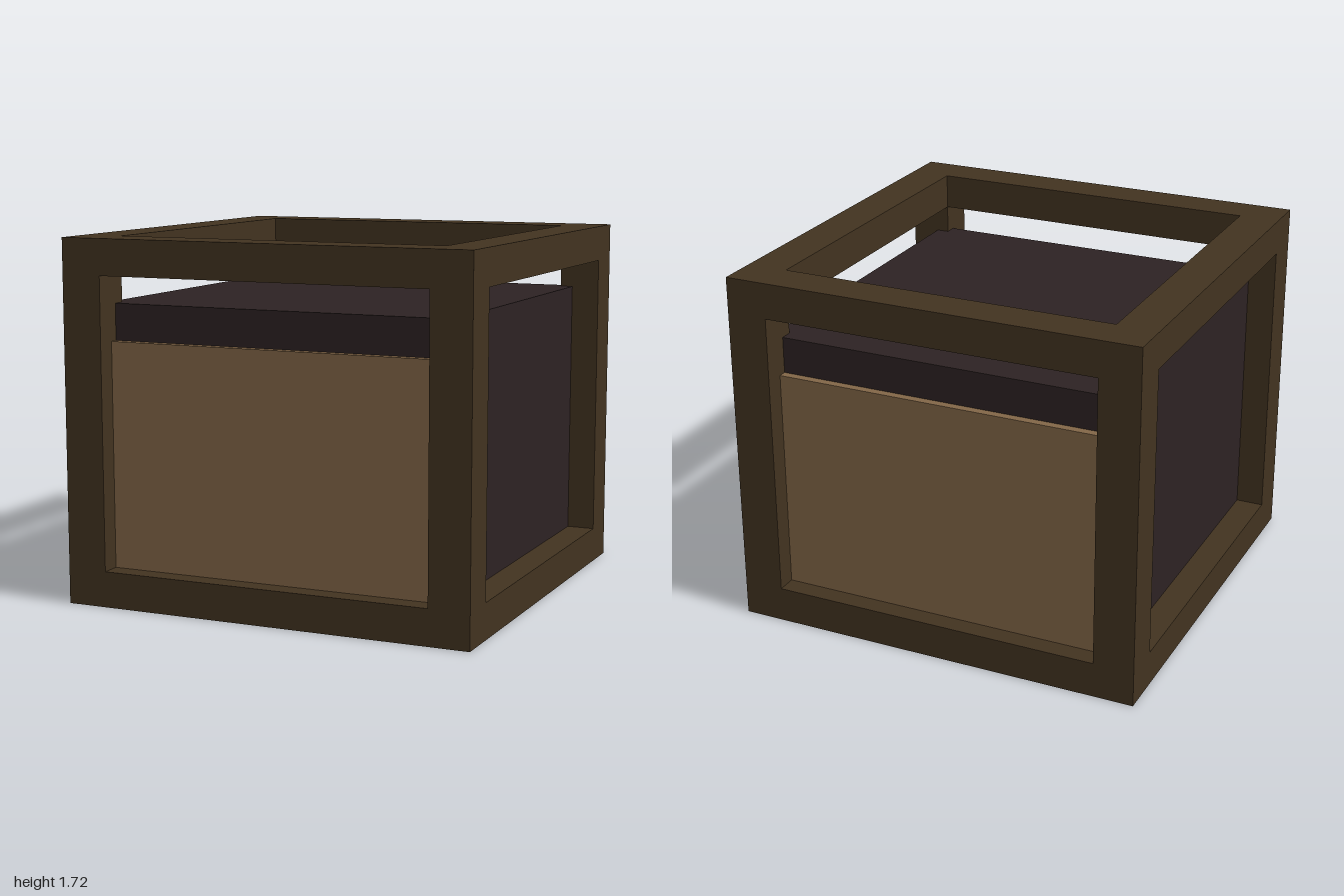
import * as THREE from 'three';

const W = 2, H = 1.716;       // overall width/depth and height
const POST = 0.195;           // beam width
const RAIL = 0.17;            // beam height

export function createModel() {
  const model = new THREE.Group();
  model.name = 'crate';

  const material = (name, color) => {
    const m = new THREE.MeshStandardMaterial({ color });
    m.name = name;
    return m;
  };
  const frameWood = material('darkFrameWood', 0x423320);
  const panelWood = material('lightPanelWood', 0x826647);
  const boxDark = material('darkBox', 0x2d2223);

  const box = (parent, name, mat, size, pos) => {
    const mesh = new THREE.Mesh(new THREE.BoxGeometry(...size), mat);
    mesh.name = name;
    mesh.position.set(...pos);
    parent.add(mesh);
  };

  // Open frame: four corner posts with rails between them at top and bottom
  const frame = new THREE.Group();
  frame.name = 'frame';
  model.add(frame);
  const edge = (W - POST) / 2;
  const span = W - 2 * POST;
  for (const sx of [-1, 1]) {
    for (const sz of [-1, 1]) {
      box(frame, 'cornerPost', frameWood, [POST, H, POST], [sx * edge, H / 2, sz * edge]);
    }
  }
  for (const y of [RAIL / 2, H - RAIL / 2]) {
    for (const s of [-1, 1]) {
      box(frame, 'crossRail', frameWood, [span, RAIL, POST], [0, y, s * edge]);
      box(frame, 'sideRail', frameWood, [POST, RAIL, span], [s * edge, y, 0]);
    }
  }

  // Inner box, recessed behind the frame
  const bottom = 0.12, top = 1.41, half = 0.865;
  box(model, 'innerBox', boxDark, [half * 2, top - bottom, half * 2], [0, (top + bottom) / 2, 0]);

  // Lighter panels on the front and back of the box
  const panelTop = 1.237, depth = 0.04;
  for (const s of [-1, 1]) {
    box(model, s > 0 ? 'frontPanel' : 'backPanel', panelWood,
      [half * 2, panelTop - bottom, depth],
      [0, (panelTop + bottom) / 2, s * (half + depth / 2)]);
  }

  return model;
}
